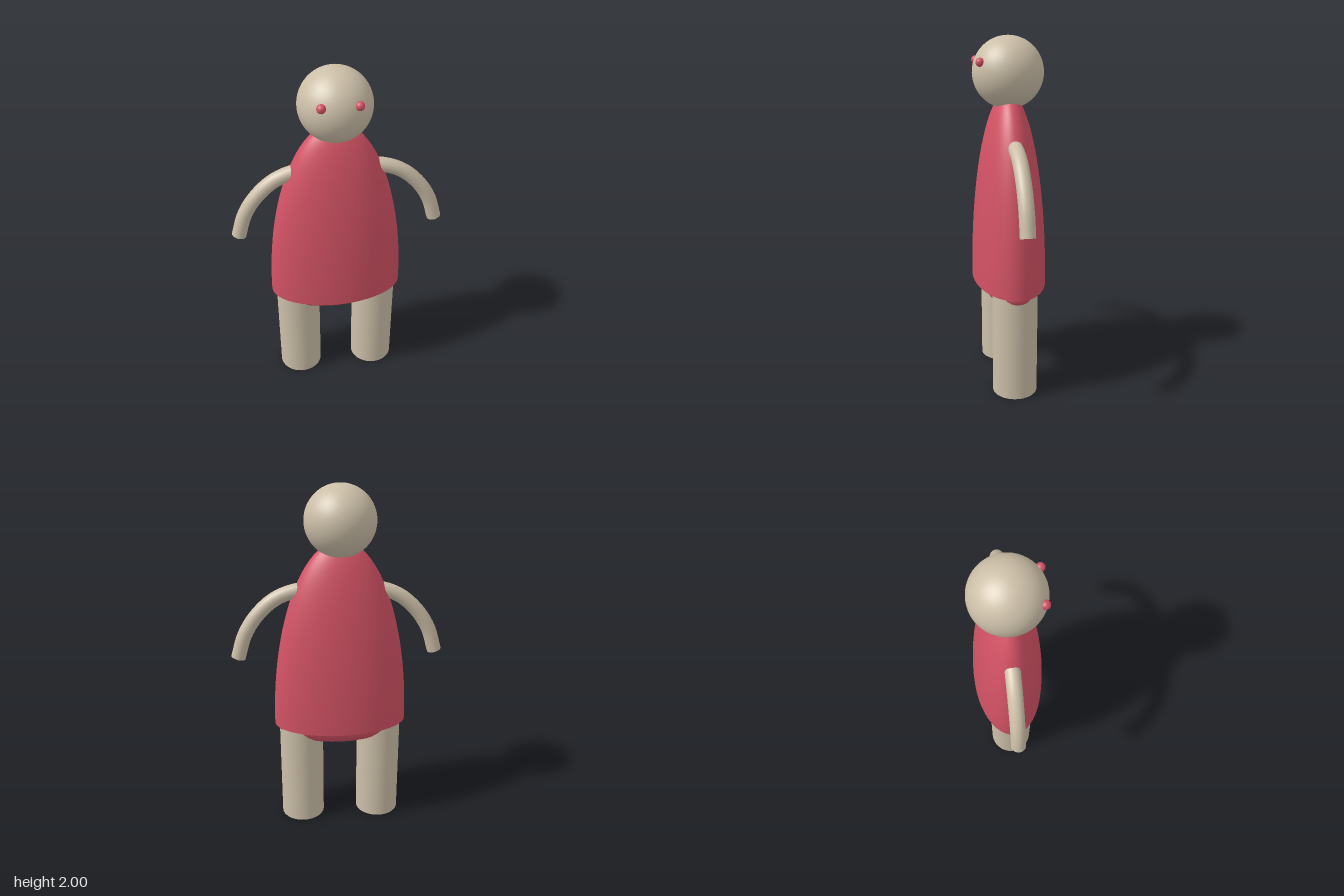
import * as THREE from 'three';

const skin = new THREE.MeshStandardMaterial({ color: 0xccbfa8 });
const red = new THREE.MeshStandardMaterial({ color: 0xd25264 });
const CX = -0.015; // axis of the body

export function createModel() {
  const model = new THREE.Group();

  function add(parent, name, geometry, material, x = 0, y = 0, z = 0) {
    const mesh = new THREE.Mesh(geometry, material);
    mesh.name = name;
    mesh.position.set(x, y, z);
    parent.add(mesh);
    return mesh;
  }

  // Head and eyes
  add(model, 'head', new THREE.SphereGeometry(0.196, 48, 32), skin, CX, 1.804, 0);
  for (const side of [-1, 1]) {
    add(model, side > 0 ? 'leftEye' : 'rightEye',
      new THREE.SphereGeometry(0.024, 20, 14), red, CX + side * 0.095, 1.865, 0.165);
  }

  // Dress: upper half of a tall ellipsoid, closed flat at the hem
  const dress = new THREE.Group();
  dress.name = 'dress';
  dress.position.set(CX, 0.62, 0);
  dress.scale.set(0.386, 1.08, 0.207);
  model.add(dress);
  add(dress, 'dressShell', new THREE.SphereGeometry(1, 48, 24, 0, Math.PI * 2, 0, Math.PI / 2), red);
  const hem = new THREE.CircleGeometry(1, 48);
  hem.rotateX(Math.PI / 2);
  add(dress, 'dressHem', hem, red);

  // Underwear: flattened ellipsoid below the hem
  const underwear = add(model, 'underwear', new THREE.SphereGeometry(1, 48, 28), red, CX, 0.62, 0);
  underwear.scale.set(0.375, 0.125, 0.166);

  // Arms: curved tubes with flat ends
  const armPoints = [[0.1, 1.435], [0.24, 1.424], [0.35, 1.38], [0.45, 1.29], [0.52, 1.18], [0.563, 1.045]];
  const radius = 0.041;
  for (const side of [-1, 1]) {
    const arm = new THREE.Group();
    arm.name = side > 0 ? 'leftArm' : 'rightArm';
    model.add(arm);
    const path = new THREE.CatmullRomCurve3(armPoints.map(([x, y]) => new THREE.Vector3(side * x, y, 0)));
    add(arm, 'armTube', new THREE.TubeGeometry(path, 48, radius, 24), skin);
    const end = path.getPoint(1);
    const cap = add(arm, 'armEnd', new THREE.CircleGeometry(radius, 24), skin, end.x, end.y, end.z);
    cap.quaternion.setFromUnitVectors(new THREE.Vector3(0, 0, 1), path.getTangent(1));
  }

  // Legs
  for (const side of [-1, 1]) {
    add(model, side > 0 ? 'leftLeg' : 'rightLeg',
      new THREE.CylinderGeometry(0.128, 0.128, 0.64, 48), skin, CX + side * 0.231, 0.32, 0);
  }

  return model;
}
